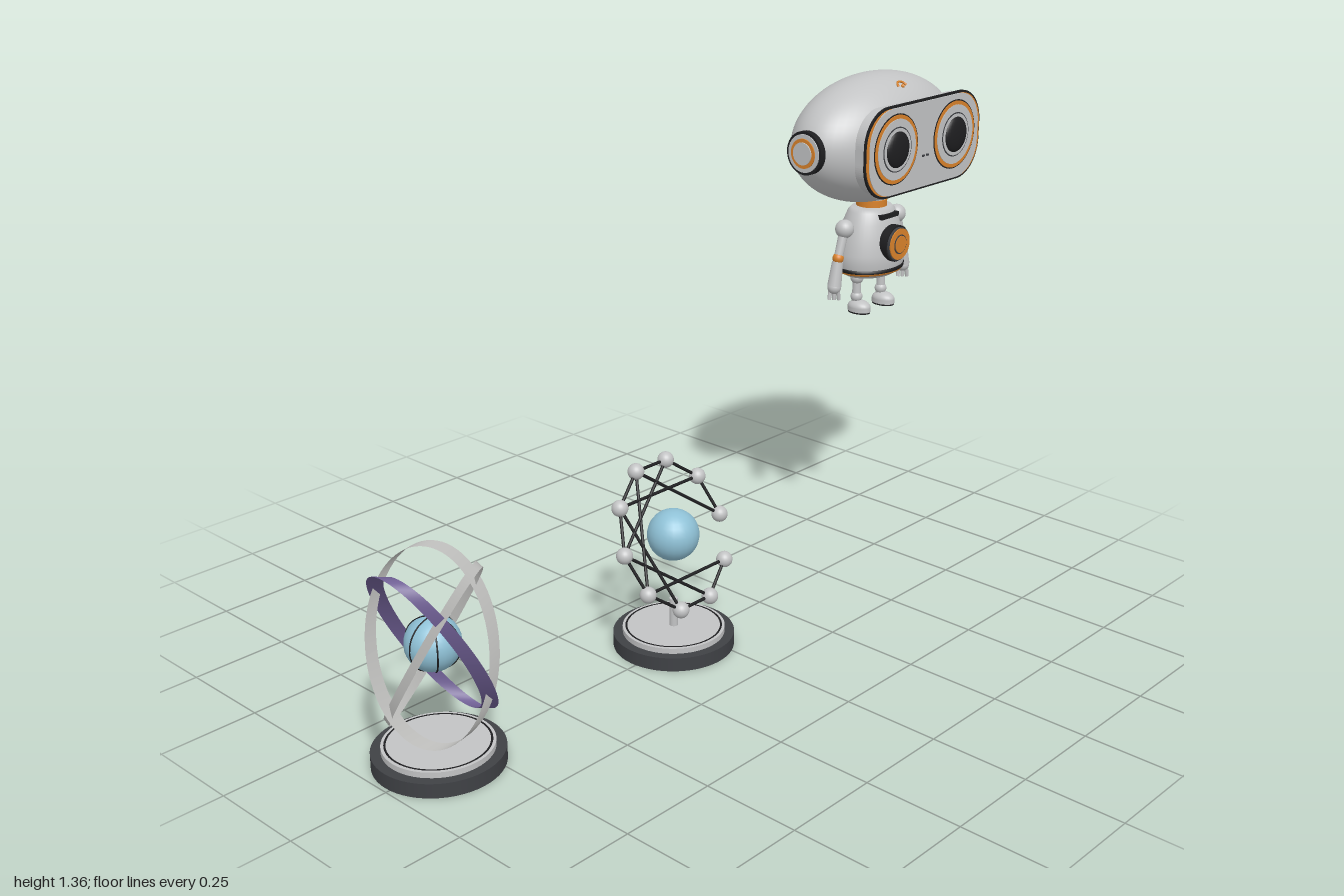
import * as THREE from 'three';

const mat = (name, color, side = THREE.FrontSide) => {
  const m = new THREE.MeshStandardMaterial({ color, side });
  m.name = name;
  return m;
};

export function createModel() {
  const shell = mat('light grey', 0xc2c3c4);
  const band = mat('band grey', 0xbcbcba, THREE.DoubleSide);
  const dark = mat('charcoal', 0x3f4145);
  const black = mat('black', 0x1e1e20);
  const orange = mat('orange', 0xd9822b);
  const blue = mat('pale blue', 0x8fc1d6);
  const purple = mat('purple', 0x6f5f94, THREE.DoubleSide);

  const root = new THREE.Group();
  const group = (name, parent, x = 0, y = 0, z = 0) => {
    const g = new THREE.Group();
    g.name = name;
    g.position.set(x, y, z);
    parent.add(g);
    return g;
  };
  const add = (parent, name, geo, material, x = 0, y = 0, z = 0) => {
    const m = new THREE.Mesh(geo, material);
    m.name = name;
    m.position.set(x, y, z);
    parent.add(m);
    return m;
  };
  const ball = (parent, name, r, material, x, y, z) =>
    add(parent, name, new THREE.SphereGeometry(r, 24, 16), material, x, y, z);
  // cylinder between two points
  const rod = (parent, name, a, b, rTop, rBottom, material) => {
    const d = b.clone().sub(a);
    const m = add(parent, name, new THREE.CylinderGeometry(rTop, rBottom, d.length(), 14), material);
    m.position.copy(a).addScaledVector(d, 0.5);
    m.quaternion.setFromUnitVectors(new THREE.Vector3(0, 1, 0), d.normalize());
    return m;
  };
  // round disc facing +z, from z0 to z1
  const disc = (parent, name, r, z0, z1, material, x = 0, y = 0) => {
    const m = add(parent, name, new THREE.CylinderGeometry(r, r, z1 - z0, 40), material, x, y, (z0 + z1) / 2);
    m.rotation.x = Math.PI / 2;
    return m;
  };
  const V = (x, y, z) => new THREE.Vector3(x, y, z);

  // display stands
  const stand = (name, x) => {
    const g = group(name, root, x, 0, -0.015);
    add(g, 'standBase', new THREE.CylinderGeometry(0.154, 0.154, 0.036, 56), dark, 0, 0.018, 0);
    add(g, 'standTop', new THREE.CylinderGeometry(0.13, 0.13, 0.014, 56), shell, 0, 0.043, 0);
    add(g, 'standGroove', new THREE.RingGeometry(0.118, 0.123, 56), black, 0, 0.0508, 0).rotation.x = -Math.PI / 2;
    add(g, 'standUnderside', new THREE.CircleGeometry(0.154, 56), black, 0, 0.0, 0).rotation.x = Math.PI / 2;
    return g;
  };

  // orbit sculpture: three slanted oval bands around a ribbed globe
  const orbit = stand('orbitSculpture', -0.836);
  const bandGeo = new THREE.CylinderGeometry(1, 1, 1, 72, 1, true);
  const p = bandGeo.attributes.position;
  for (let i = 0; i < p.count; i++) {
    const c = p.getX(i), h = p.getY(i), s = p.getZ(i);
    p.setXYZ(i, -0.107 * c + 0.025 * h, 0.197 * c, 0.135 * s + 0.028 * h);
  }
  bandGeo.computeVertexNormals();
  [purple, band, band].forEach((m, i) => {
    add(orbit, 'orbitBand', bandGeo, m, 0, 0.296, 0).rotation.y = -i * Math.PI * 2 / 3;
  });
  ball(orbit, 'globe', 0.065, blue, 0, 0.3, 0);
  for (let i = 0; i < 3; i++) {
    add(orbit, 'globeRib', new THREE.TorusGeometry(0.065, 0.002, 6, 40), black, 0, 0.3, 0).rotation.y = i * Math.PI / 3;
  }

  // network sculpture: open chain of ten nodes on a tilted circle
  const net = stand('networkSculpture', -0.067);
  rod(net, 'post', V(0, 0.05, 0), V(0, 0.125, 0), 0.011, 0.011, shell);
  ball(net, 'core', 0.066, blue, 0, 0.302, 0);
  const nodes = [];
  for (let i = 0; i < 10; i++) {
    const a = i * Math.PI / 5;
    const n = V(0.172 * Math.cos(a), 0.302 + 0.173 * Math.sin(a), -0.08 * Math.sin(a));
    ball(net, 'node', 0.021, shell, n.x, n.y, n.z);
    nodes.push(n);
  }
  for (const step of [1, 3]) {
    for (let i = 0; i + step < 10; i++) rod(net, 'link', nodes[i], nodes[i + step], 0.004, 0.004, black);
  }

  // robot
  const robot = group('robot', root, 0.703, 0, -0.015);
  const head = group('head', robot, 0, 1.19, 0);
  add(head, 'skull', new THREE.SphereGeometry(1, 56, 36), shell).scale.set(0.286, 0.169, 0.156);

  // ears
  for (const s of [1, -1]) {
    const ear = group('ear', head, s * 0.25, 0, 0);
    ear.rotation.y = s * Math.PI / 2;
    disc(ear, 'earBase', 0.05, 0, 0.022, shell);
    disc(ear, 'earRim', 0.056, 0.02, 0.037, black);
    disc(ear, 'earPad', 0.049, 0.03, 0.04, shell);
    disc(ear, 'earRing', 0.038, 0.035, 0.043, orange);
    disc(ear, 'earCap', 0.029, 0.035, 0.046, shell);
  }

  // face plate built from stacked rounded slabs
  const slab = (name, hx, hy, r, z0, z1, material) => {
    const sh = new THREE.Shape();
    sh.absarc(hx - r, hy - r, r, 0, Math.PI / 2);
    sh.absarc(-hx + r, hy - r, r, Math.PI / 2, Math.PI);
    sh.absarc(-hx + r, -hy + r, r, Math.PI, Math.PI * 1.5);
    sh.absarc(hx - r, -hy + r, r, Math.PI * 1.5, Math.PI * 2);
    sh.closePath();
    const geo = new THREE.ExtrudeGeometry(sh, { depth: z1 - z0, bevelEnabled: false, curveSegments: 12 });
    return add(head, name, geo, material, 0, 0.003, z0);
  };
  slab('plateMount', 0.2, 0.085, 0.08, 0.05, 0.13, shell);
  slab('facePlate', 0.238, 0.11, 0.088, 0.124, 0.158, shell);
  slab('plateRim', 0.245, 0.117, 0.094, 0.156, 0.162, black);
  slab('plateTrim', 0.241, 0.111, 0.09, 0.16, 0.164, orange);
  slab('plateFront', 0.232, 0.111, 0.088, 0.16, 0.166, shell);

  // eyes, mouth and brow sensor
  for (const s of [1, -1]) {
    const eye = group('eye', head, s * 0.125, 0.009, 0);
    disc(eye, 'eyeEdge', 0.091, 0.16, 0.167, black);
    disc(eye, 'eyeTrim', 0.088, 0.16, 0.1685, orange);
    disc(eye, 'eyeDisc', 0.078, 0.16, 0.17, shell);
    disc(eye, 'pupilEdge', 0.058, 0.16, 0.171, dark);
    disc(eye, 'pupilRing', 0.055, 0.16, 0.172, shell);
    const pupil = ball(eye, 'pupil', 0.047, black, 0, 0, 0.17);
    pupil.scale.z = 0.3;
    add(head, 'mouthDot', new THREE.BoxGeometry(0.008, 0.005, 0.004), dark, s * 0.009, -0.026, 0.167);
  }
  const sensor = group('browSensor', head, 0, 0.142, 0.087);
  sensor.rotation.x = -0.9;
  add(sensor, 'sensorArc', new THREE.TorusGeometry(0.016, 0.003, 8, 20, Math.PI), orange);
  ball(sensor, 'sensorDot', 0.005, orange, 0, 0, 0);

  // neck and torso
  add(robot, 'neck', new THREE.CylinderGeometry(0.037, 0.037, 0.06, 28), shell, 0, 1.01, 0);
  add(robot, 'neckRing', new THREE.CylinderGeometry(0.041, 0.041, 0.018, 28), orange, 0, 1.014, 0);
  const lathe = (name, pts, material) => {
    const m = add(robot, name, new THREE.LatheGeometry(pts.map(q => new THREE.Vector2(...q)), 44), material);
    m.scale.x = 1.28;
    return m;
  };
  lathe('torso', [[0.08, 0.842], [0.0835, 0.862], [0.083, 0.885], [0.077, 0.925], [0.067, 0.965], [0.056, 0.995], [0.048, 1.004], [0, 1.006]], shell);
  lathe('waistBand', [[0.075, 0.836], [0.082, 0.837], [0.083, 0.846], [0.076, 0.848]], black);
  lathe('waistTrim', [[0.066, 0.829], [0.078, 0.831], [0.078, 0.838]], orange);
  lathe('hips', [[0, 0.808], [0.035, 0.811], [0.06, 0.82], [0.075, 0.836]], shell);

  // chest light and vent
  const chest = group('chestLight', robot, 0, 0.914, 0);
  disc(chest, 'chestRim', 0.049, 0.06, 0.09, black);
  disc(chest, 'chestRing', 0.045, 0.06, 0.096, dark);
  disc(chest, 'chestLens', 0.042, 0.06, 0.099, orange);
  disc(chest, 'chestLensRing', 0.026, 0.06, 0.1005, dark);
  disc(chest, 'chestLensCore', 0.023, 0.06, 0.102, orange);
  add(robot, 'chestVent', new THREE.BoxGeometry(0.072, 0.012, 0.02), black, 0, 0.985, 0.054);

  // arms and legs
  for (const s of [1, -1]) {
    const arm = group('arm', robot);
    const shoulder = V(s * 0.113, 0.96, 0), elbow = V(s * 0.137, 0.885, 0);
    const wrist = V(s * 0.15, 0.812, 0);
    ball(arm, 'shoulder', 0.025, shell, shoulder.x, shoulder.y, 0);
    rod(arm, 'upperArm', elbow, shoulder, 0.013, 0.012, shell);
    ball(arm, 'elbow', 0.015, orange, elbow.x, elbow.y, 0);
    rod(arm, 'forearm', wrist, elbow.clone().lerp(wrist, 0.12), 0.015, 0.019, shell);
    ball(arm, 'hand', 0.018, shell, wrist.x, wrist.y - 0.004, 0);
    for (const f of [-1, 0, 1]) {
      rod(arm, 'finger', V(wrist.x + f * 0.004, 0.802, f * 0.009), V(wrist.x + f * 0.009, 0.774, f * 0.009), 0.005, 0.006, shell);
    }

    const leg = group('leg', robot, s * 0.053, 0, 0);
    ball(leg, 'hipJoint', 0.018, shell, 0, 0.815, 0);
    rod(leg, 'shin', V(0, 0.745, 0), V(0, 0.815, 0), 0.011, 0.013, shell);
    ball(leg, 'ankle', 0.016, shell, 0, 0.762, 0);
    const foot = add(leg, 'foot', new THREE.SphereGeometry(1, 24, 10, 0, Math.PI * 2, 0, Math.PI / 2), shell, 0, 0.735, 0.01);
    foot.scale.set(0.025, 0.019, 0.034);
    const side = add(leg, 'footSide', new THREE.CylinderGeometry(1, 1, 0.011, 24), shell, 0, 0.7295, 0.01);
    side.scale.set(0.025, 1, 0.034);
    const sole = add(leg, 'sole', new THREE.CylinderGeometry(1, 1, 0.005, 24), black, 0, 0.7225, 0.01);
    sole.scale.set(0.024, 1, 0.033);
  }
  return root;
}
